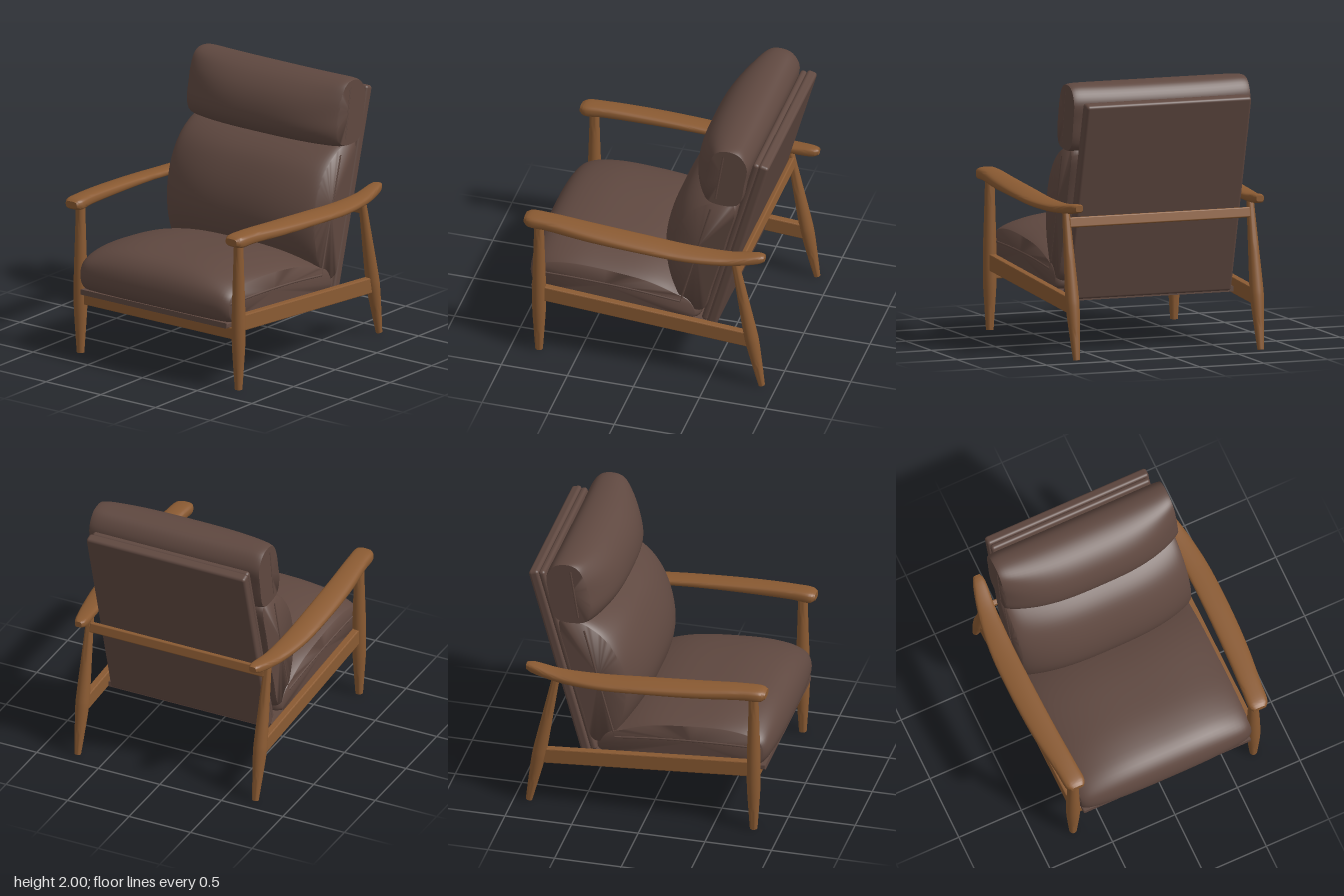
import * as THREE from 'three';
import { toCreasedNormals } from 'three/addons/utils/BufferGeometryUtils.js';
import { RoundedBoxGeometry } from 'three/addons/geometries/RoundedBoxGeometry.js';

const V = (x, y, z) => new THREE.Vector3(x, y, z);

// Solid skin over closed rings of points, with both ends capped.
function loft(rings, crease = 0.8) {
  const n = rings[0].length, pts = rings.flat(), idx = [];
  for (let i = 0; i < rings.length - 1; i++) {
    for (let j = 0; j < n; j++) {
      const a = i * n + j, b = i * n + (j + 1) % n;
      idx.push(a, b, b + n, a, b + n, a + n);
    }
  }
  [0, rings.length - 1].forEach((r, end) => {
    const c = pts.length;
    pts.push(rings[r].reduce((s, p) => s.add(p), V(0, 0, 0)).divideScalar(n));
    for (let j = 0; j < n; j++) {
      const a = r * n + j, b = r * n + (j + 1) % n;
      if (end) idx.push(a, b, c); else idx.push(b, a, c);
    }
  });
  // Turn the faces outward if the enclosed volume is negative.
  let volume = 0;
  for (let i = 0; i < idx.length; i += 3) {
    volume += pts[idx[i]].dot(pts[idx[i + 1]].clone().cross(pts[idx[i + 2]]));
  }
  if (volume < 0) idx.reverse();
  const g = new THREE.BufferGeometry().setFromPoints(pts);
  g.setIndex(idx);
  return toCreasedNormals(g, crease);
}

// Cushion across x: a full [z, y] profile in the middle, a flatter one at the sides.
function cushion(mid, edge, halfWidth) {
  const curve = (p) => new THREE.CatmullRomCurve3(p.map(([z, y]) => V(0, y, z)), true).getPoints(60).slice(0, -1);
  const m = curve(mid), e = curve(edge), rings = [];
  const centre = e.reduce((s, p) => s.add(p), V(0, 0, 0)).divideScalar(e.length);
  for (let i = 0; i <= 32; i++) {
    const t = Math.sin((i / 32 - 0.5) * Math.PI), a = Math.abs(t);
    rings.push(m.map((p, j) => {
      const q = p.clone().lerp(e[j], a ** 3).lerp(centre, 0.05 * a ** 24);
      q.x = t * halfWidth;
      return q;
    }));
  }
  return loft(rings, 1.0);
}

// Straight-sided bar: a [z, y] outline extruded along x.
function slab(outline, width) {
  const s = new THREE.Shape(outline.map(([z, y]) => new THREE.Vector2(-z, y)));
  const bevel = 0.008;
  const g = new THREE.ExtrudeGeometry(s, {
    depth: width - 2 * bevel, bevelSize: bevel, bevelOffset: -bevel, bevelThickness: bevel, bevelSegments: 2,
  });
  g.translate(0, 0, -width / 2 + bevel);
  return g.rotateY(Math.PI / 2);
}

// Armrest: a rounded section guided by its inner lower and outer upper edges.
function armrest(side) {
  // z, inner x, outer x, lower y, upper y
  const stations = [
    [0.895, 0.68, 0.78, 1.125, 1.175], [0.86, 0.66, 0.805, 1.105, 1.19], [0.72, 0.665, 0.82, 1.11, 1.195],
    [0.4, 0.68, 0.855, 1.105, 1.18], [0, 0.69, 0.87, 1.095, 1.155], [-0.35, 0.69, 0.86, 1.075, 1.13],
    [-0.65, 0.68, 0.815, 1.065, 1.125], [-0.87, 0.665, 0.755, 1.08, 1.145], [-0.91, 0.68, 0.735, 1.095, 1.14],
  ];
  const lo = new THREE.CatmullRomCurve3(stations.map((s) => V(s[1], s[3], s[0]))).getPoints(48);
  const hi = new THREE.CatmullRomCurve3(stations.map((s) => V(s[2], s[4], s[0]))).getPoints(48);
  const soft = (v) => Math.sign(v) * Math.abs(v) ** 0.6;
  return loft(lo.map((p, i) => {
    const q = hi[i], droop = 0.02 * Math.cos(p.z * 1.6);
    return Array.from({ length: 24 }, (_, k) => {
      const a = (k / 24) * Math.PI * 2, u = soft(Math.cos(a)), v = soft(Math.sin(a));
      return V(
        side * ((p.x + q.x) / 2 + u * (q.x - p.x) / 2),
        (p.y + q.y) / 2 + v * (q.y - p.y) / 2 - droop * Math.max(u, 0),
        p.z);
    });
  }));
}

// Turned leg: [radius, height] profile.
function turnedLeg(profile) {
  const pts = new THREE.SplineCurve(profile.map(([r, y]) => new THREE.Vector2(r, y))).getPoints(24);
  const top = pts[pts.length - 1].y;
  return toCreasedNormals(new THREE.LatheGeometry(
    [new THREE.Vector2(0, 0), ...pts, new THREE.Vector2(0, top)], 24), 0.8);
}

export function createModel() {
  const chair = new THREE.Group();
  chair.name = 'loungeChair';
  const leather = new THREE.MeshStandardMaterial({ color: 0x5f4840 });
  leather.name = 'brown leather';
  const wood = new THREE.MeshStandardMaterial({ color: 0x8a5a32 });
  wood.name = 'warm wood';
  const add = (name, geometry, material, x = 0, y = 0, z = 0) => {
    const mesh = new THREE.Mesh(geometry, material);
    mesh.name = name;
    mesh.position.set(x, y, z);
    chair.add(mesh);
    return mesh;
  };

  // Upholstery
  add('seatCushion', cushion(
    [[0.92, 0.6], [0.9, 0.74], [0.81, 0.83], [0.6, 0.873], [0.3, 0.862], [0, 0.82],
      [-0.2, 0.75], [-0.38, 0.62], [-0.4, 0.47], [0, 0.46], [0.5, 0.485], [0.85, 0.505]],
    [[0.88, 0.6], [0.86, 0.69], [0.78, 0.74], [0.6, 0.772], [0.3, 0.765], [0, 0.73],
      [-0.2, 0.67], [-0.36, 0.6], [-0.4, 0.47], [0, 0.46], [0.5, 0.485], [0.83, 0.505]], 0.68), leather);
  add('backCushion', cushion(
    [[-0.06, 0.92], [-0.07, 1.08], [-0.13, 1.25], [-0.23, 1.4], [-0.36, 1.49], [-0.52, 1.54],
      [-0.68, 1.52], [-0.62, 1.2], [-0.5, 0.75], [-0.42, 0.52], [-0.28, 0.54], [-0.12, 0.74]],
    [[-0.17, 0.92], [-0.18, 1.08], [-0.23, 1.25], [-0.31, 1.38], [-0.41, 1.47], [-0.54, 1.53],
      [-0.68, 1.52], [-0.62, 1.2], [-0.5, 0.75], [-0.42, 0.52], [-0.3, 0.54], [-0.2, 0.74]], 0.675), leather);
  add('headCushion', cushion(
    [[-0.3, 1.62], [-0.305, 1.75], [-0.36, 1.87], [-0.46, 1.96], [-0.59, 1.997], [-0.71, 1.97],
      [-0.775, 1.87], [-0.76, 1.74], [-0.7, 1.52], [-0.52, 1.5], [-0.37, 1.53]],
    [[-0.43, 1.62], [-0.45, 1.75], [-0.48, 1.88], [-0.53, 1.97], [-0.6, 2], [-0.71, 1.98],
      [-0.775, 1.88], [-0.76, 1.74], [-0.7, 1.52], [-0.53, 1.5], [-0.46, 1.53]], 0.69), leather);
  add('seatDeck', slab([[0.87, 0.47], [0.87, 0.51], [-0.5, 0.42], [-0.5, 0.38]], 1.34), leather);

  // Reclined back panel in two layers
  const panel = new THREE.Group();
  panel.name = 'backPanel';
  panel.position.set(0, 1.14, -0.66);
  panel.rotation.x = -0.268;
  [['rearShell', 1.29, 1.53, 0.075, -0.022], ['frontPad', 1.27, 1.5, 0.05, 0.036]].forEach(([name, w, h, d, z]) => {
    const mesh = new THREE.Mesh(new RoundedBoxGeometry(w, h, d, 4, 0.022), leather);
    mesh.name = name;
    mesh.position.z = z;
    panel.add(mesh);
  });
  chair.add(panel);

  // Frame sides
  const frontLeg = turnedLeg([[0.028, 0], [0.04, 0.18], [0.05, 0.36], [0.05, 0.58], [0.042, 0.85], [0.034, 1.13]]);
  const backLeg = turnedLeg([[0.024, 0], [0.036, 0.15], [0.05, 0.36], [0.05, 0.48], [0.038, 0.8], [0.027, 1.1]]);
  const rail = slab([[0.79, 0.44], [0.79, 0.562], [-0.8, 0.448], [-0.82, 0.328]], 0.055);
  const seams = [
    [[0.84, 0.65], [0.5, 0.645], [0.1, 0.625], [-0.26, 0.59]],
    [[-0.26, 0.59], [-0.37, 1], [-0.49, 1.45]],
    [[-0.53, 1.56], [-0.56, 1.75], [-0.59, 1.94]],
  ];
  for (const side of [1, -1]) {
    const label = side > 0 ? 'left' : 'right';
    add(label + 'Armrest', armrest(side), wood);
    add(label + 'FrontLeg', frontLeg, wood, side * 0.722, 0, 0.795);
    add(label + 'BackLeg', backLeg, wood, side * 0.722, 0.003, -0.89).rotation.x = 0.19;
    add(label + 'SideRail', rail, wood, side * 0.715);
    seams.forEach((s, i) => {
      const path = new THREE.CatmullRomCurve3(s.map(([z, y]) => V(side * [0.677, 0.672, 0.686][i], y, z)));
      add(label + 'SeamPiping', new THREE.TubeGeometry(path, 20, 0.009, 8), leather);
    });
  }

  // Cross rails
  add('frontRail', new RoundedBoxGeometry(1.42, 0.09, 0.05, 2, 0.01), wood, 0, 0.42, 0.79);
  add('backRail', new RoundedBoxGeometry(1.42, 0.075, 0.04, 2, 0.01), wood, 0, 0.99, -0.71).rotation.x = 0.19;
  return chair;
}
